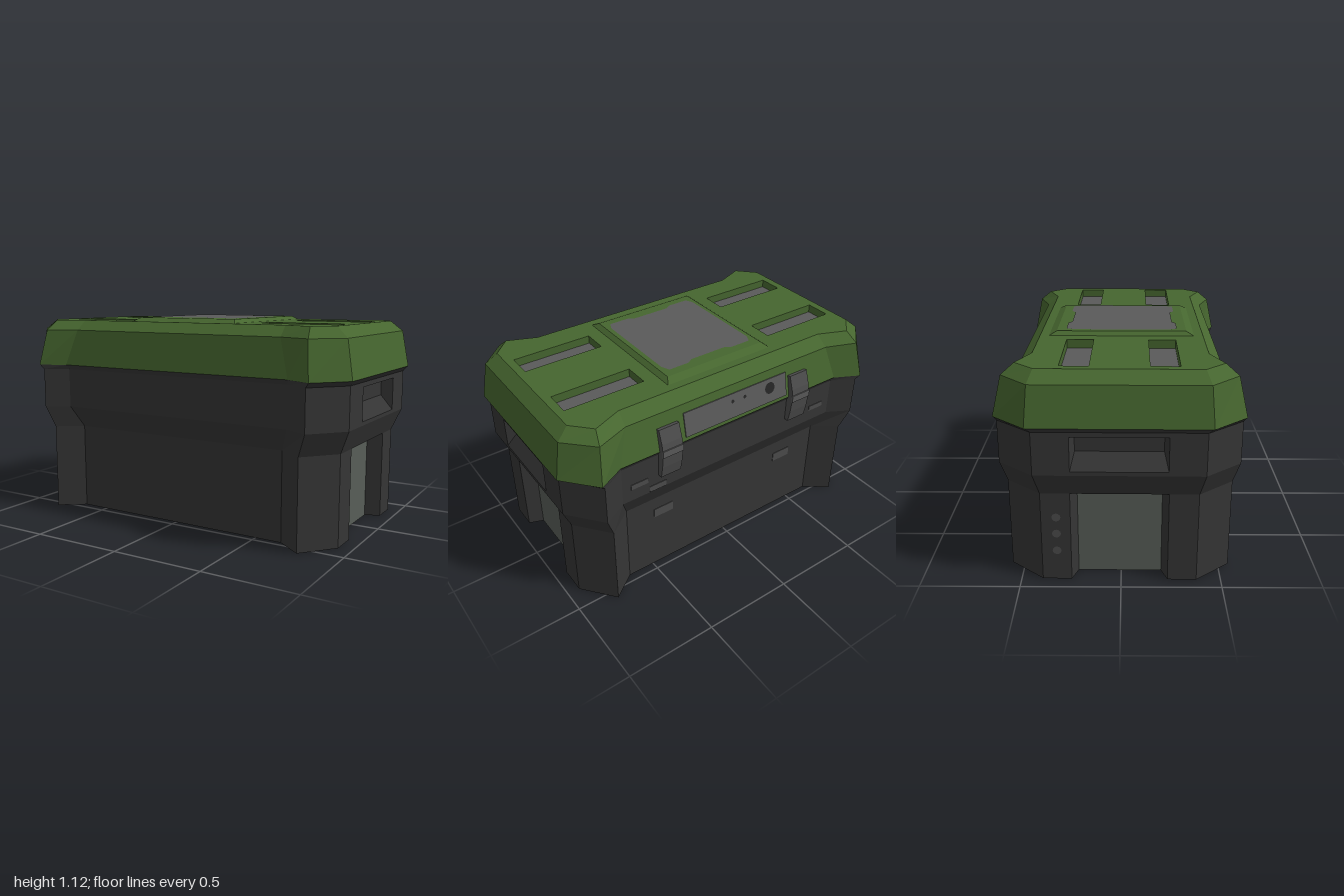
import * as THREE from 'three';

const mat = (name, color, side = THREE.FrontSide) => {
  const m = new THREE.MeshStandardMaterial({ color, side });
  m.name = name;
  return m;
};

// Ring of 12 points: side (X, zs), corner post (xc, Z) and recessed long face (xf, zf), mirrored.
function ring(y, X, zs, xc, Z, xf, zf) {
  const q = [[X, zs], [xc, Z], [xf, zf]];
  const half = [...q, ...q.slice().reverse().map(([x, z]) => [-x, z])];
  return [...half, ...half.map(([x, z]) => [-x, -z])].map(([x, z]) => [x, y, z]);
}

// Rectangles listed clockwise as seen from outside
const sideRect = (x, y0, y1, z) => [[x, y1, z], [x, y1, -z], [x, y0, -z], [x, y0, z]];
const topRect = (y, x0, x1, z0, z1) => [[x0, y, z0], [x1, y, z0], [x1, y, z1], [x0, y, z1]];

// Flat-shaded skin over successive rings, leaving out the listed faces
function skin(rings, { skip = () => false, cap = false } = {}) {
  const pos = [];
  const quad = (a, b, c, d) => pos.push(...a, ...b, ...c, ...a, ...c, ...d);
  for (let k = 0; k + 1 < rings.length; k++) {
    const r = rings[k], s = rings[k + 1], n = r.length;
    for (let i = 0; i < n; i++) {
      const j = (i + 1) % n;
      if (!skip(k, i)) quad(r[j], r[i], s[i], s[j]);
    }
  }
  if (cap) {
    const [a, b, c, d] = rings[rings.length - 1];
    quad(d, c, b, a);
  }
  const g = new THREE.BufferGeometry();
  g.setAttribute('position', new THREE.Float32BufferAttribute(pos, 3));
  g.computeVertexNormals();
  return g;
}

const shapeOf = (pts) => new THREE.Shape(pts.map(([x, y]) => new THREE.Vector2(x, y)));

export function createModel() {
  const model = new THREE.Group();
  model.name = 'storageCrate';
  const green = mat('lidGreen', 0x46662f);
  const dark = mat('bodyDark', 0x353535);
  const grey = mat('insetGrey', 0x5a5a5a);
  const panel = mat('endPanelGrey', 0x575d57);
  const latchGrey = mat('latchGrey', 0x4c4c4c);
  const black = mat('holeBlack', 0x262626);
  const add = (parent, name, geo, material, x = 0, y = 0, z = 0) => {
    const m = new THREE.Mesh(geo, material);
    m.name = name;
    m.position.set(x, y, z);
    parent.add(m);
    return m;
  };

  // Body shell, open at both ends where the recessed panels fit
  const body = [
    ring(0, 0.93, 0.385, 0.785, 0.56, 0.65, 0.46),
    ring(0.48, 0.93, 0.385, 0.785, 0.56, 0.65, 0.46),
    ring(0.6, 0.98, 0.41, 0.83, 0.59, 0.7, 0.52),
    ring(0.82, 0.98, 0.41, 0.83, 0.59, 0.7, 0.52),
    ring(0.845, 1, 0.43, 0.85, 0.602, 0.71, 0.532),
  ];
  add(model, 'body', skin(body, { skip: (k, i) => (k === 0 || k === 2) && (i === 5 || i === 11) }), dark);

  // Underside with a notch at each end
  const notch = [[0.93, -0.24], [0.85, -0.21], [0.85, 0.21], [0.93, 0.24]];
  const flat = body[0].map(([x, , z]) => [x, z]);
  const outline = [...flat.slice(0, 6), ...notch.map(([x, z]) => [-x, -z]), ...flat.slice(6), ...notch];
  add(model, 'underside', new THREE.ShapeGeometry(shapeOf(outline)).rotateX(Math.PI / 2), dark);

  // Ends: grip recess above, tall panel recess below
  for (const [name, turn] of [['leftEnd', 0], ['rightEnd', Math.PI]]) {
    const end = new THREE.Group();
    end.name = name;
    end.rotation.y = turn;
    model.add(end);
    add(end, 'gripRecess', skin([
      sideRect(0.98, 0.6, 0.82, 0.41), sideRect(0.98, 0.62, 0.795, 0.233), sideRect(0.92, 0.7, 0.795, 0.212),
    ], { cap: true }), dark);
    const inner = sideRect(0.85, 0, 0.44, 0.21);
    add(end, 'panelRecess', skin([
      sideRect(0.93, 0, 0.48, 0.385), sideRect(0.93, 0, 0.48, 0.24), inner,
    ], { skip: (k, i) => i === 2 }), dark);
    add(end, 'endPanel', skin([inner], { cap: true }), panel);
  }

  // Lid sides and bevel
  const lid = [
    ring(0.845, 1, 0.435, 0.85, 0.605, 0.71, 0.535),
    ring(1.045, 0.965, 0.42, 0.825, 0.56, 0.65, 0.495),
    ring(1.1, 0.9, 0.395, 0.805, 0.495, 0.645, 0.43),
  ];
  add(model, 'lidSides', skin(lid), green);

  // Lid top with four slots
  const top = shapeOf(lid[2].map(([x, , z]) => [x, -z]));
  for (const sx of [-1, 1]) for (const sz of [-1, 1]) {
    const [x0, x1] = [sx * 0.408, sx * 0.855].sort((a, b) => a - b);
    const [z0, z1] = [sz * 0.142, sz * 0.282].sort((a, b) => a - b);
    top.holes.push(new THREE.Path([[x0, -z0], [x1, -z0], [x1, -z1], [x0, -z1]].map((p) => new THREE.Vector2(...p))));
    const floor = topRect(1.055, x0, x1, z0, z1);
    add(model, 'slotWalls', skin([topRect(1.1, x0, x1, z0, z1), floor]), green);
    add(model, 'slotFloor', skin([floor], { cap: true }), grey);
  }
  add(model, 'lidTop', new THREE.ShapeGeometry(top).rotateX(-Math.PI / 2), green, 0, 1.1, 0);

  // Raised pad with a worn inset
  add(model, 'raisedPad', skin([
    topRect(1.1, -0.33, 0.33, -0.383, 0.383), topRect(1.12, -0.305, 0.305, -0.343, 0.343),
  ], { cap: true }), green);
  const corner = [[0.28, 0.25], [0.26, 0.295], [0.14, 0.295], [0.11, 0.275]];
  const upper = [...corner, ...corner.slice().reverse().map(([x, y]) => [-x, y])];
  add(model, 'padInset', new THREE.ShapeGeometry(shapeOf([...upper, ...upper.map(([x, y]) => [-x, -y])]))
    .rotateX(-Math.PI / 2), grey, 0, 1.122, 0);

  // Plate on the sloping back of the lid
  const plate = new THREE.Group();
  plate.name = 'backPlate';
  plate.position.set(-0.01, 0.932, -0.519);
  plate.rotation.x = Math.atan(0.2);
  model.add(plate);
  add(plate, 'plateSheet', new THREE.BoxGeometry(0.67, 0.135, 0.009), grey);
  for (const [x, y, r] of [[-0.22, 0.015, 0.033], [0.03, 0.025, 0.01], [-0.05, 0.025, 0.01]]) {
    add(plate, 'plateHole', new THREE.CircleGeometry(r, 16).rotateY(Math.PI), black, x, y, -0.006);
  }

  // Latches at the back
  const profile = shapeOf([[0.5, 0.97], [0.53, 0.975], [0.556, 0.9], [0.566, 0.845],
    [0.558, 0.76], [0.545, 0.69], [0.515, 0.69]].reverse());
  const strap = new THREE.ExtrudeGeometry(profile, { depth: 0.12, bevelEnabled: false })
    .translate(0, 0, -0.06).rotateY(Math.PI / 2);
  for (const x of [-0.425, 0.425]) {
    add(model, 'latch', strap, latchGrey, x, 0, 0);
    add(model, 'latchBand', new THREE.BoxGeometry(0.122, 0.04, 0.009), grey, x, 0.845, -0.564);
  }

  // Worn patches on the back
  for (const s of [-1, 1]) {
    for (const [x, y, z, w, h] of [[0.42, 0.375, 0.46, 0.12, 0.055], [0.6, 0.685, 0.52, 0.1, 0.03]]) {
      add(model, 'wornPatch', new THREE.BoxGeometry(w, h, 0.006), latchGrey, s * x, y, -z);
    }
  }
  add(model, 'wornPatch', new THREE.BoxGeometry(0.1, 0.035, 0.006), latchGrey, 0.49, 0.62, -0.52);

  // Small studs on the right end's rear post
  for (const y of [0.165, 0.26, 0.35]) {
    add(model, 'postStud', new THREE.CircleGeometry(0.022, 12).rotateY(-Math.PI / 2), latchGrey, -0.932, y, -0.31);
  }

  model.rotation.y = -0.008;
  return model;
}
